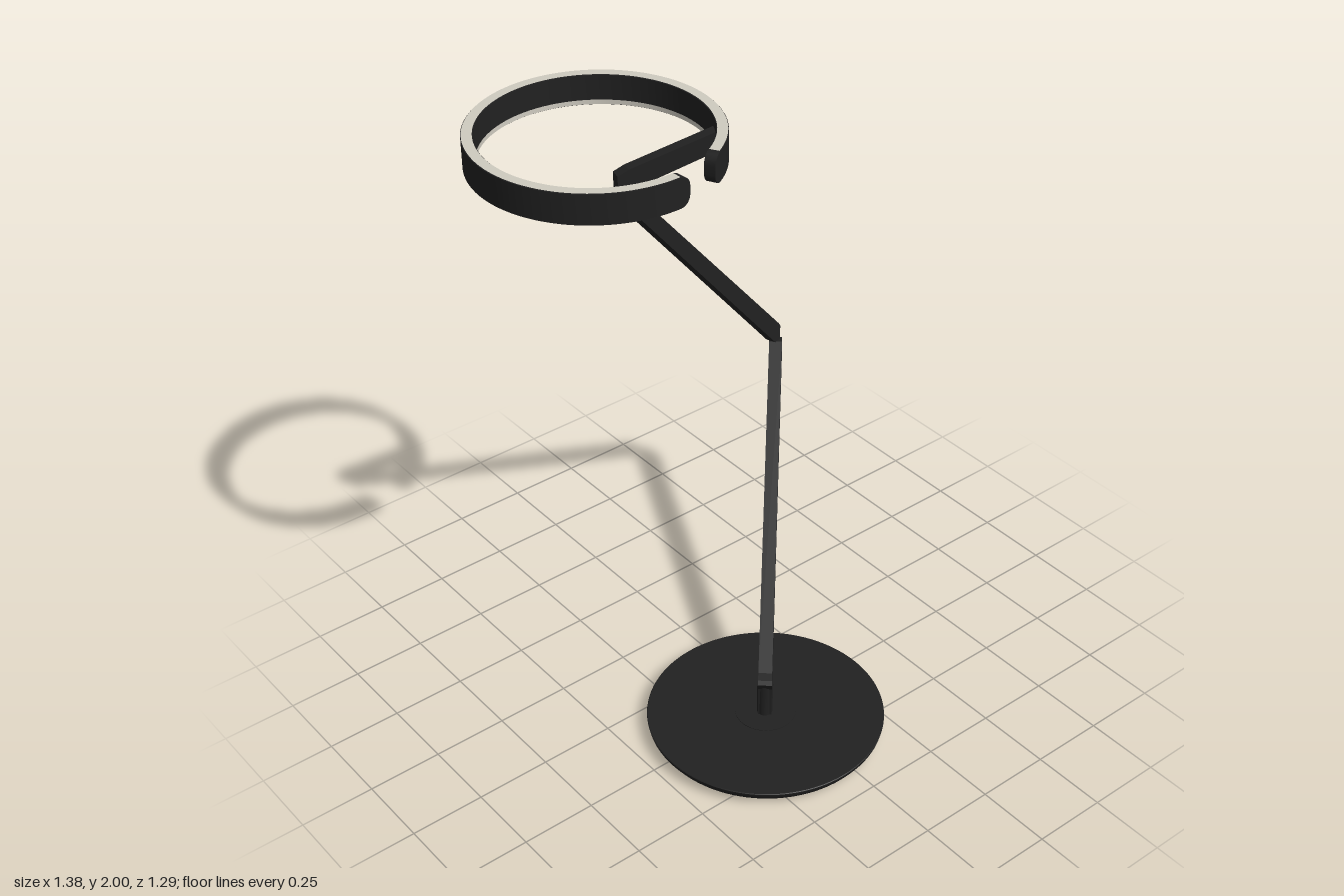
import * as THREE from 'three';
import { toCreasedNormals } from 'three/addons/utils/BufferGeometryUtils.js';

const black = new THREE.MeshStandardMaterial({ color: 0x212121 });
black.name = 'matteBlack';
const diffuser = new THREE.MeshStandardMaterial({ color: 0xcfcbc0, side: THREE.DoubleSide });
diffuser.name = 'warmWhiteDiffuser';

function add(parent, name, geometry, material, x = 0, y = 0, z = 0) {
  const mesh = new THREE.Mesh(geometry, material);
  mesh.name = name;
  mesh.position.set(x, y, z);
  parent.add(mesh);
  return mesh;
}

// Flat bar: a side profile (distance, height) standing in the vertical plane from one floor point to another
function addArm(parent, name, [x0, z0], [x1, z1], width, profile) {
  const shape = new THREE.Shape(profile.map(([u, v]) => new THREE.Vector2(u, v)));
  const geo = new THREE.ExtrudeGeometry(shape, { depth: width, bevelEnabled: false });
  geo.translate(0, 0, -width / 2);
  add(parent, name, geo, black, x0, 0, z0).rotation.y = Math.atan2(-(z1 - z0), x1 - x0);
}

// Open band with rounded end corners, swept as rectangular sections around y
function bandGeometry(rIn, rOut, y0, y1, a0, a1, corner) {
  const angles = [];
  const endAngle = corner / rOut, steps = 120, endSteps = 6;
  for (let i = 0; i < endSteps; i++) angles.push(a0 + endAngle * (1 - Math.cos((i / endSteps) * Math.PI / 2)));
  for (let i = 0; i <= steps; i++) angles.push(a0 + endAngle + (a1 - a0 - 2 * endAngle) * i / steps);
  for (let i = endSteps - 1; i >= 0; i--) angles.push(a1 - endAngle * (1 - Math.cos((i / endSteps) * Math.PI / 2)));

  const pos = [], idx = [];
  for (const a of angles) {
    const d = Math.min(corner, Math.min(a - a0, a1 - a) * rOut);
    const inset = corner - Math.sqrt(Math.max(0, corner * corner - (corner - d) ** 2));
    const corners = [[rOut, y0 + inset], [rOut, y1 - inset], [rIn, y1 - inset], [rIn, y0 + inset]];
    for (const [r, y] of corners) pos.push(r * Math.cos(a), y, r * Math.sin(a));
  }
  for (let i = 0; i < angles.length - 1; i++) {
    for (let j = 0; j < 4; j++) {
      const k = (j + 1) % 4, p = i * 4, q = p + 4;
      idx.push(p + j, p + k, q + k, p + j, q + k, q + j);
    }
  }
  const e = (angles.length - 1) * 4;
  idx.push(2, 1, 0, 3, 2, 0, e, e + 1, e + 2, e, e + 2, e + 3);
  const geo = new THREE.BufferGeometry();
  geo.setAttribute('position', new THREE.Float32BufferAttribute(pos, 3));
  geo.setIndex(idx);
  return toCreasedNormals(geo, 0.5);
}

export function createModel() {
  const model = new THREE.Group();
  model.name = 'ringDeskLamp';

  // Base plate with a rounded underside, a centre cap and the post
  const profile = [[0, 0], [0.33, 0], [0.355, 0.006], [0.375, 0.018], [0.387, 0.035], [0.39, 0.048], [0.388, 0.05], [0, 0.05]];
  const plate = new THREE.LatheGeometry(profile.map(([r, y]) => new THREE.Vector2(r, y)), 96);
  add(model, 'basePlate', toCreasedNormals(plate, 0.6), black, 0.3, 0, 0.075);
  add(model, 'baseCap', new THREE.CylinderGeometry(0.1, 0.1, 0.004, 64), black, 0.3, 0.05, 0.075);
  add(model, 'post', new THREE.CylinderGeometry(0.027, 0.025, 0.12, 32), black, 0.302, 0.11, 0.08);

  // Folding arms
  addArm(model, 'lowerArm', [0.325, 0.1], [-0.51, -0.64], 0.045, [
    [0.012, 0.05], [0.008, 0.165], [-0.008, 0.195], [0.002, 0.207], [0.03, 0.215],
    [1.085, 0.813], [1.116, 0.813], [1.116, 0.745], [1.105, 0.73], [1.08, 0.718],
    [0.075, 0.135], [0.045, 0.05],
  ]);
  addArm(model, 'upperArm', [-0.505, -0.635], [-0.205, 0.235], 0.036, [
    [0, 0.818], [0.032, 0.818], [0.915, 1.785], [0.92, 1.8], [0.92, 1.825], [0.885, 1.825], [0.01, 0.885], [0, 0.87],
  ]);
  addArm(model, 'headArm', [-0.213, 0.24], [-0.128, -0.085], 0.036, [
    [0, 1.828], [0.03, 1.828], [0.336, 1.903], [0.336, 1.968], [0.035, 1.9], [0, 1.885],
  ]);

  // Open ring head with a light plate on top and a light strip inside its lower edge
  const head = new THREE.Group();
  head.name = 'ringHead';
  head.position.set(-0.3, 0, 0.245);
  model.add(head);
  const a0 = THREE.MathUtils.degToRad(-7), a1 = THREE.MathUtils.degToRad(335);
  add(head, 'ringBody', bandGeometry(0.354, 0.39, 1.9, 1.998, a0, a1, 0.035), black);
  const b0 = a0 + 0.09, b1 = a1 - 0.09;
  const topLight = new THREE.RingGeometry(0.356, 0.388, 120, 1, -b1, b1 - b0).rotateX(-Math.PI / 2);
  add(head, 'topDiffuser', topLight, diffuser, 0, 2, 0);
  const strip = new THREE.CylinderGeometry(0.352, 0.352, 0.015, 120, 1, true, Math.PI / 2 - b1, b1 - b0);
  add(head, 'innerDiffuser', strip, diffuser, 0, 1.909, 0);

  return model;
}
